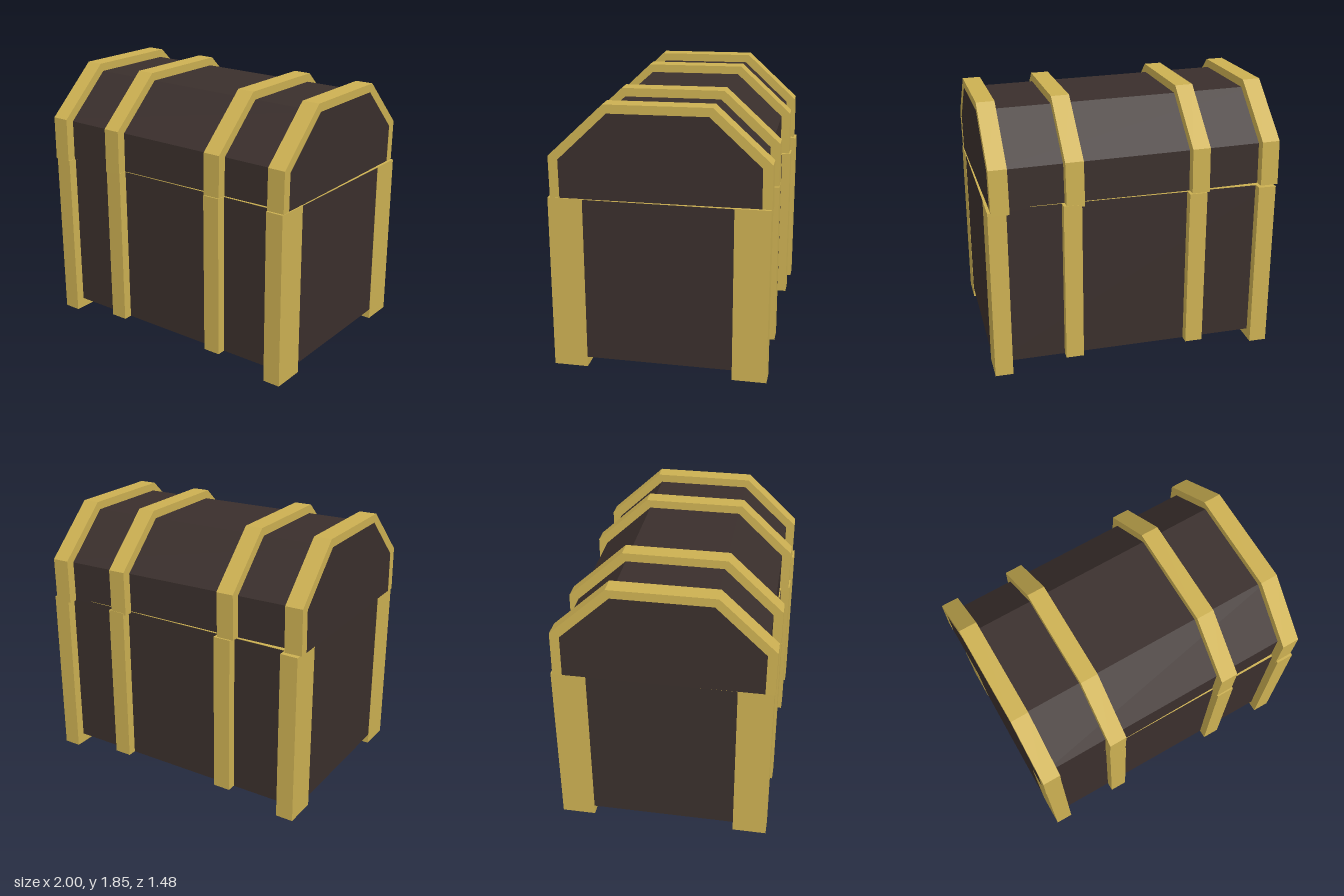
import * as THREE from 'three';

const wood = new THREE.MeshStandardMaterial({ color: 0x3a2f2c, flatShading: true });
const gold = new THREE.MeshStandardMaterial({ color: 0xccb052, flatShading: true });

const BODY_TOP = 1.19, BODY_BOTTOM = 0.07, HALF_LENGTH = 0.986, STRAP = 0.122;
const strapX = [-(HALF_LENGTH - STRAP / 2), -0.431, 0.431, HALF_LENGTH - STRAP / 2];

function box(name, material, x, z, y0, y1, w, d) {
  const mesh = new THREE.Mesh(new THREE.BoxGeometry(w, y1 - y0, d), material);
  mesh.name = name;
  mesh.position.set(x, (y0 + y1) / 2, z);
  return mesh;
}

// Faceted lid arch, from one foot over the top to the other
function arch(halfDepth, eave, ridge, top) {
  return [[-halfDepth, 0], [-halfDepth, eave], [-ridge, top], [ridge, top], [halfDepth, eave], [halfDepth, 0]]
    .map(([z, y]) => new THREE.Vector2(z, y));
}

// Sweep a z-y outline along x, centred on x
function extrudeAlongX(name, material, points, x, length) {
  const geometry = new THREE.ExtrudeGeometry(new THREE.Shape(points), { depth: length, bevelEnabled: false });
  geometry.translate(0, 0, -length / 2).rotateY(Math.PI / 2);
  const mesh = new THREE.Mesh(geometry, material);
  mesh.name = name;
  mesh.position.x = x;
  return mesh;
}

function createBase() {
  const base = new THREE.Group();
  base.name = 'base';
  base.add(box('baseBox', wood, 0, 0, BODY_BOTTOM, BODY_TOP - 0.004, HALF_LENGTH * 2 - 0.004, 1.32));
  base.add(box('baseTop', gold, 0, 0, BODY_TOP - 0.004, BODY_TOP - 0.001, HALF_LENGTH * 2 - 0.004, 1.32));
  for (const side of [1, -1]) {
    strapX.forEach((x, i) => {
      const corner = i === 0 || i === 3;
      const depth = corner ? 0.23 : 0.1;
      // Corner posts reach the ground, middle straps end with the box
      base.add(box(corner ? 'cornerPost' : 'baseStrap', gold, x, side * (0.722 - depth / 2),
        corner ? 0 : BODY_BOTTOM, BODY_TOP, STRAP, depth));
    });
  }
  base.rotation.y = -0.0175;
  return base;
}

function createLid() {
  const lid = new THREE.Group();
  lid.name = 'lid';
  const inner = arch(0.653, 0.285, 0.323, 0.595);
  const outer = arch(0.716, 0.308, 0.346, 0.652);
  lid.add(extrudeAlongX('lidShell', wood, inner, 0, HALF_LENGTH * 2 - 0.004));
  const band = [...outer, ...inner.slice().reverse()];
  for (const x of strapX) lid.add(extrudeAlongX('lidStrap', gold, band, x, STRAP));
  // The lid sits slightly askew on the base
  lid.position.set(-0.012, 1.179, 0.001);
  lid.rotation.set(0.006, -0.006, -0.0155);
  return lid;
}

export function createModel() {
  const chest = new THREE.Group();
  chest.name = 'chest';
  chest.add(createBase(), createLid());
  return chest;
}
